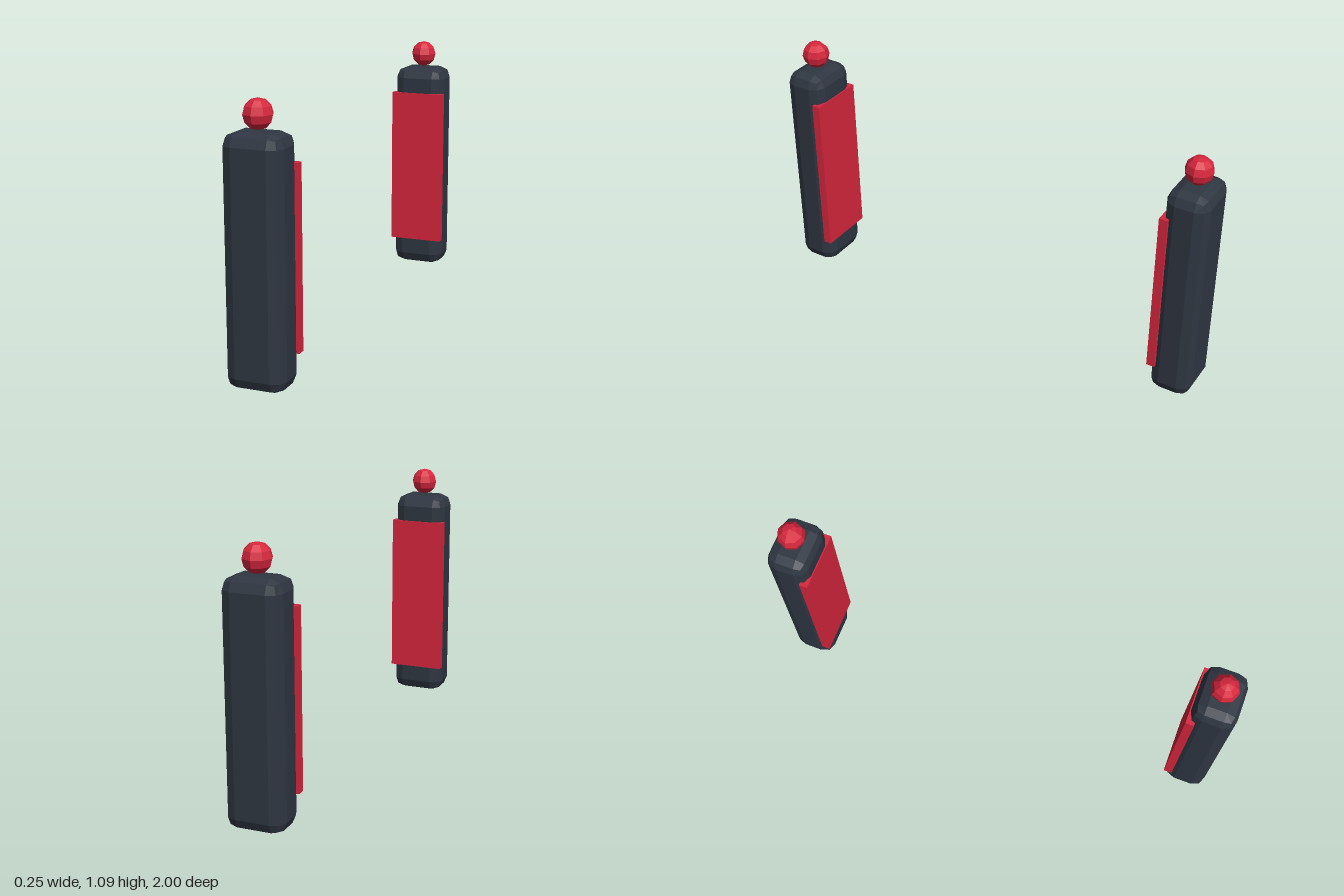
import * as THREE from 'three';
import { RoundedBoxGeometry } from 'three/addons/geometries/RoundedBoxGeometry.js';

// Faceted normals for the low-poly look
function faceted(geometry) {
  const flat = geometry.index ? geometry.toNonIndexed() : geometry;
  flat.computeVertexNormals();
  return flat;
}

export function createModel() {
  const slate = new THREE.MeshStandardMaterial({ color: 0x2f3742 });
  slate.name = 'slate';
  const red = new THREE.MeshStandardMaterial({ color: 0xd7263d });
  red.name = 'red';

  const postGeometry = faceted(new RoundedBoxGeometry(0.24, 0.97, 0.18, 1, 0.05));
  const panelGeometry = new THREE.BoxGeometry(0.25, 0.725, 0.036);
  const knobGeometry = faceted(new THREE.SphereGeometry(0.059, 8, 6));

  // One gate post: bevelled body, panel on the inner side, ball on top
  function createPost(name) {
    const post = new THREE.Group();
    post.name = name;
    const add = (part, geometry, material, y, z) => {
      const mesh = new THREE.Mesh(geometry, material);
      mesh.name = part;
      mesh.position.set(0, y, z);
      post.add(mesh);
    };
    add('postBody', postGeometry, slate, 0.485, 0.91);
    add('innerPanel', panelGeometry, red, 0.4875, 0.833);
    add('topBall', knobGeometry, red, 1.032, 0.91);
    return post;
  }

  const model = new THREE.Group();
  model.name = 'gatePosts';
  const front = createPost('frontPost');
  const back = createPost('backPost');
  back.rotation.y = Math.PI;
  model.add(front, back);
  return model;
}
